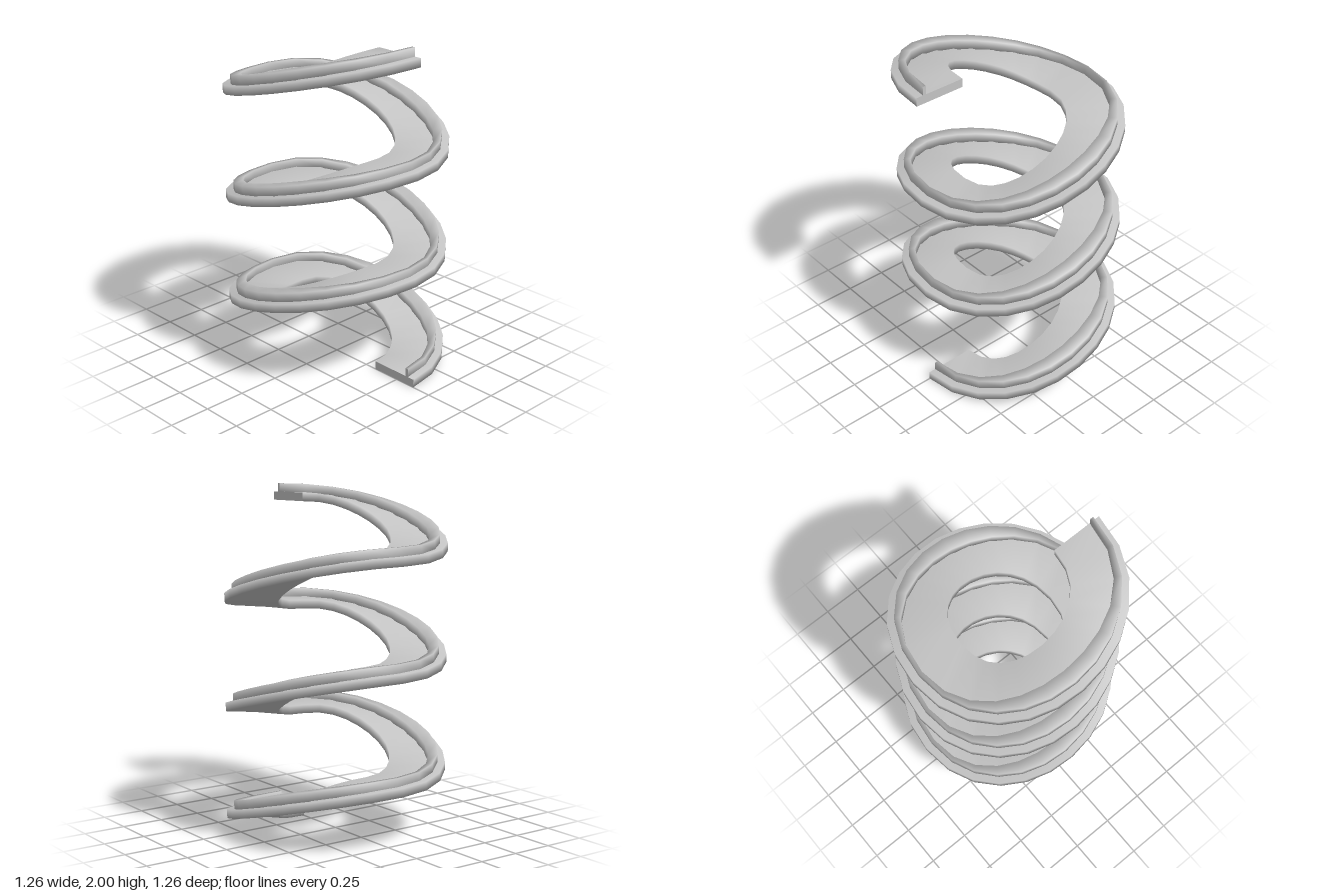
import * as THREE from 'three';

const HALF_TURNS = 6, STEPS = 12, RADIUS = 0.48, HALF_RISE = 1.9 / HALF_TURNS;

// Point, outward direction and leaning up direction on the path.
// Each half turn is one cubic curve, level at both ends and steepest midway.
function pathFrame(i) {
  const half = Math.min(Math.floor(i / STEPS), HALF_TURNS - 1);
  const t = i / STEPS - half;
  const side = half % 2 ? -1 : 1;
  const ease = t * t * (3 - 2 * t);
  const point = new THREE.Vector3(
    side * RADIUS * (1 - 2 * ease),
    HALF_RISE * (half + ease),
    -side * RADIUS * 4 * t * (1 - t),
  );
  const tangent = new THREE.Vector3(
    -side * RADIUS * 12 * t * (1 - t),
    HALF_RISE * 6 * t * (1 - t),
    -side * RADIUS * 4 * (1 - 2 * t),
  ).normalize();
  const out = new THREE.Vector3(-tangent.z, 0, tangent.x).normalize();
  const up = new THREE.Vector3().crossVectors(out, tangent).normalize();
  return { point, out, up };
}

// Sweeps a four-cornered section along the path.
// section(out) gives [offset outward, height] corners, counter-clockwise.
function sweep(section) {
  const steps = HALF_TURNS * STEPS;
  const pos = [], index = [];
  const addRing = (i) => {
    const { point, out, up } = pathFrame(i);
    for (const [o, h] of section(out)) {
      const p = point.clone().addScaledVector(out, o).addScaledVector(up, h);
      pos.push(p.x, p.y, p.z);
    }
  };
  for (let i = 0; i <= steps; i++) addRing(i);
  for (let i = 0; i < steps; i++) {
    for (let k = 0; k < 4; k++) {
      const p0 = i * 4 + k, p1 = i * 4 + ((k + 1) % 4);
      index.push(p0, p0 + 4, p1, p1, p0 + 4, p1 + 4);
    }
  }
  // flat end caps with their own corners
  const s = (steps + 1) * 4, e = s + 4;
  addRing(0);
  addRing(steps);
  index.push(s, s + 1, s + 2, s, s + 2, s + 3);
  index.push(e, e + 2, e + 1, e, e + 3, e + 2);

  const geo = new THREE.BufferGeometry();
  geo.setAttribute('position', new THREE.Float32BufferAttribute(pos, 3));
  geo.setIndex(index);
  geo.computeVertexNormals();
  return geo;
}

export function createModel() {
  const grey = new THREE.MeshStandardMaterial({ color: 0xc4c4c4 });
  grey.name = 'light grey';
  const model = new THREE.Group();
  model.name = 'spiralRamp';

  const add = (name, section) => {
    const mesh = new THREE.Mesh(sweep(section), grey);
    mesh.name = name;
    model.add(mesh);
  };

  // wide walking surface, its inner edge slightly off centre
  add('ramp', (out) => {
    const inner = -0.165 + 0.012 * out.x;
    return [[inner, 0], [0.15, 0], [0.15, 0.05], [inner, 0.05]];
  });

  // raised kerb, thicker at the front and back than at the sides
  add('kerb', (out) => {
    const inner = 0.087 - 0.062 * out.z * out.z;
    return [[inner, 0.045], [0.107, 0.045], [0.107, 0.1], [inner, 0.1]];
  });

  return model;
}
